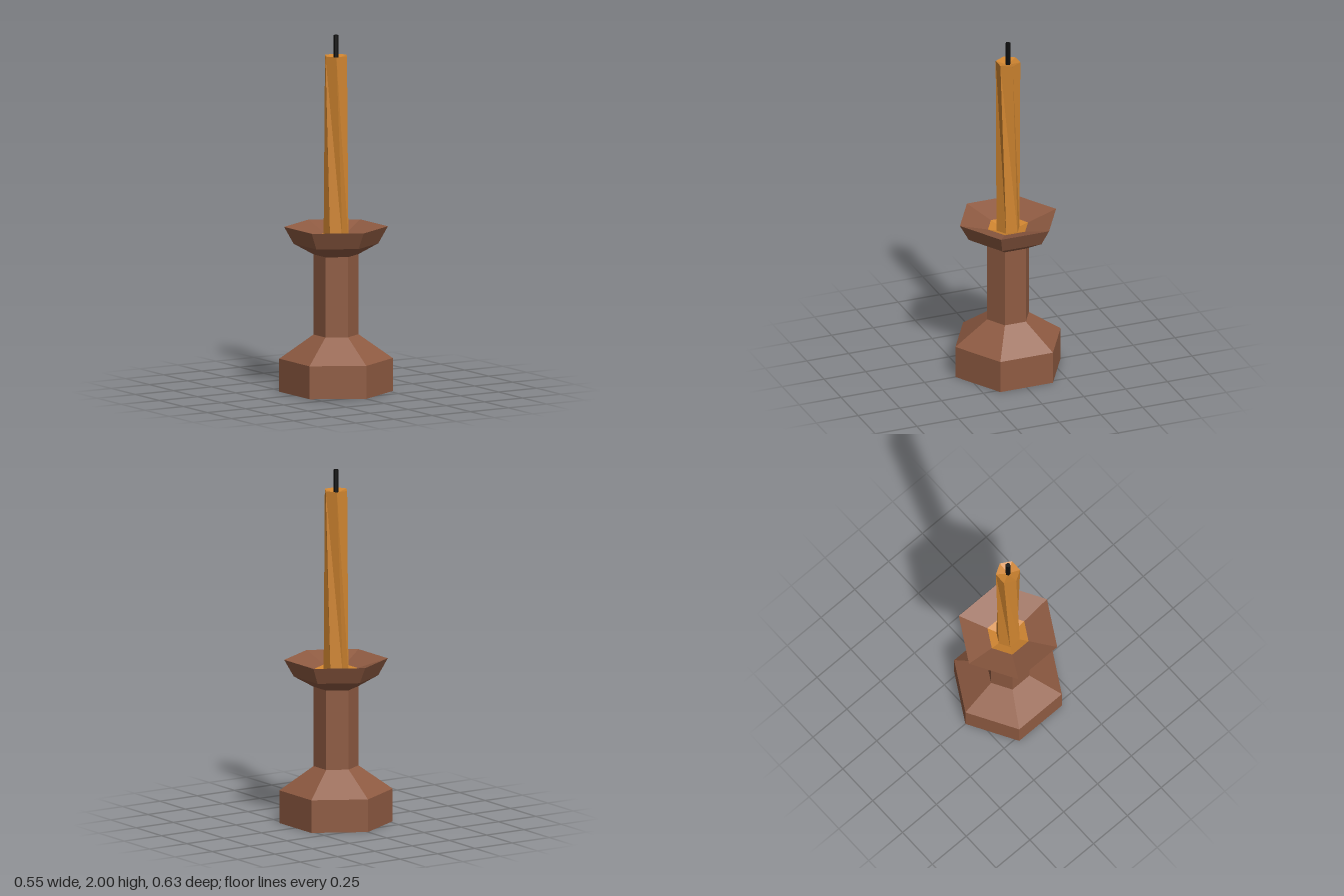
import * as THREE from 'three';

const wood = new THREE.MeshStandardMaterial({ color: 0x8f5b42 });
wood.name = 'brown wood';
const wax = new THREE.MeshStandardMaterial({ color: 0xd08530 });
wax.name = 'amber wax';
const black = new THREE.MeshStandardMaterial({ color: 0x0d0d0d });
black.name = 'charred black';

// Six-sided faceted solid from [radius, height] pairs, optionally twisted about y
function hexTurned(name, profile, material, twist = 0) {
  const points = profile.map(([r, y]) => new THREE.Vector2(r, y));
  const lathe = new THREE.LatheGeometry(points, 6);
  if (twist) {
    const y0 = profile[0][1];
    const y1 = Math.max(...profile.map((p) => p[1]));
    const pos = lathe.attributes.position;
    const v = new THREE.Vector3();
    const up = new THREE.Vector3(0, 1, 0);
    for (let i = 0; i < pos.count; i++) {
      v.fromBufferAttribute(pos, i);
      v.applyAxisAngle(up, (twist * (v.y - y0)) / (y1 - y0));
      pos.setXYZ(i, v.x, v.y, v.z);
    }
  }
  const geometry = lathe.toNonIndexed();
  geometry.computeVertexNormals();
  const mesh = new THREE.Mesh(geometry, material);
  mesh.name = name;
  return mesh;
}

export function createModel() {
  const model = new THREE.Group();
  model.name = 'candlestick';

  model.add(
    // Foot, stem and drip bowl in one turned piece
    hexTurned('holder', [
      [0, 0], [0.315, 0], [0.315, 0.185], [0.125, 0.32], [0.125, 0.77],
      [0.235, 0.83], [0.288, 0.925], [0.12, 0.8725],
    ], wood),
    // Melted wax lying in the middle of the bowl
    hexTurned('waxPool', [[0.12, 0.8725], [0, 0.835]], wax),
    // Twisted candle with a shallow dent at the top
    hexTurned('candle', [[0.069, 0.835], [0.069, 1.885], [0, 1.865]], wax, -Math.PI / 6),
    hexTurned('wick', [[0.014, 1.86], [0.014, 2], [0, 2]], black),
  );
  return model;
}
